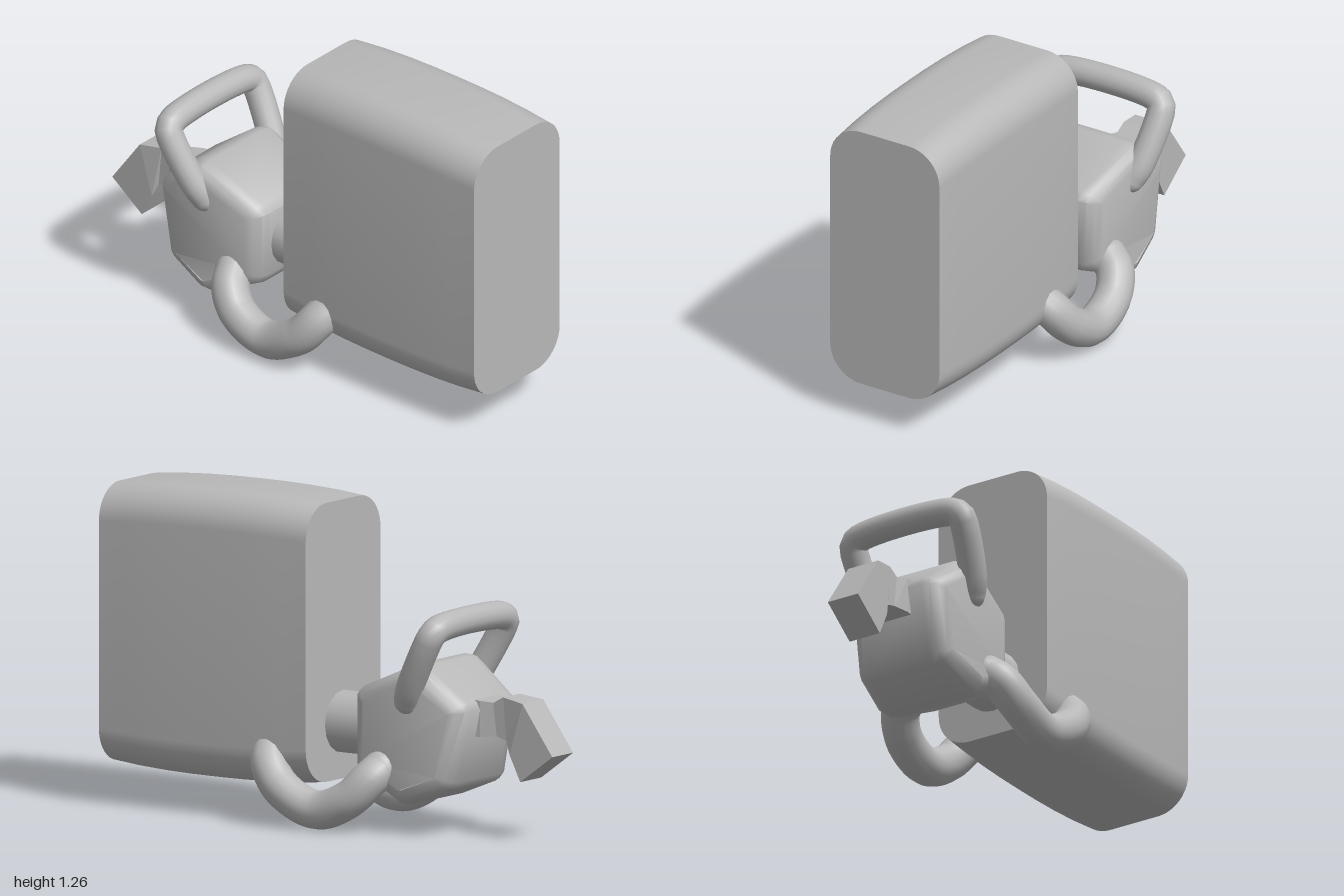
import * as THREE from 'three';
import { toCreasedNormals } from 'three/addons/utils/BufferGeometryUtils.js';

const grey = new THREE.MeshStandardMaterial({ color: 0xb8b8b8 });
grey.name = 'grey';

function part(name, geometry) {
  const mesh = new THREE.Mesh(geometry, grey);
  mesh.name = name;
  return mesh;
}

// Moves every vertex of a geometry by a rule
function deform(geometry, rule) {
  const p = geometry.attributes.position;
  const v = new THREE.Vector3();
  for (let i = 0; i < p.count; i++) {
    rule(v.fromBufferAttribute(p, i));
    p.setXYZ(i, v.x, v.y, v.z);
  }
  return geometry;
}

// Tall rounded block, swelling slightly in the middle
function bodyGeometry() {
  const w = 0.262, h = 0.565, r = 0.145, z0 = 0.03, z1 = 1;
  const s = new THREE.Shape();
  s.moveTo(w, -h + r);
  s.lineTo(w, h - r);
  s.absarc(w - r, h - r, r, 0, Math.PI / 2);
  s.absarc(-w + r, h - r, r, Math.PI / 2, Math.PI);
  s.absarc(-w + r, -h + r, r, Math.PI, Math.PI * 1.5);
  s.absarc(w - r, -h + r, r, Math.PI * 1.5, Math.PI * 2);
  const g = new THREE.ExtrudeGeometry(s, { depth: z1 - z0, steps: 8, bevelEnabled: false, curveSegments: 5 });
  deform(g, (v) => {
    const t = (2 * v.z) / (z1 - z0) - 1;
    const inset = 0.022 * Math.pow(Math.abs(t), 2.5);
    v.x *= 1 - (inset * 0.5) / w;
    v.y = 0.705 + v.y * (1 - inset / h);
    v.z += z0;
  });
  return toCreasedNormals(g, 0.6);
}

// Bevelled head from its side outline, narrowing to front and back
function headGeometry() {
  const outline = [
    [0.145, 0.26], [0.17, 0.22], [0.38, 0.12], [0.42, 0.125], [0.585, 0.19], [0.61, 0.22],
    [0.665, 0.5], [0.65, 0.53], [0.47, 0.665], [0.43, 0.67], [0.17, 0.56], [0.145, 0.53],
  ].map(([x, y]) => new THREE.Vector2(x, y));
  const g = new THREE.ExtrudeGeometry(new THREE.Shape(outline), {
    depth: 0.32, bevelThickness: 0.08, bevelSize: 0.06, bevelOffset: -0.06, bevelSegments: 3,
  });
  g.translate(0, 0, -0.16).rotateY(Math.PI / 2);
  deform(g, (v) => {
    v.x *= 1 - 0.65 * Math.abs(v.z + 0.41);
  });
  return toCreasedNormals(g, 0.7);
}

// Round tube through points, with rounded ends
function tube(name, points, radius) {
  const group = new THREE.Group();
  group.name = name;
  const path = points.map((p) => new THREE.Vector3(...p));
  const curve = new THREE.CatmullRomCurve3(path, false, 'centripetal');
  group.add(part(name + 'Tube', new THREE.TubeGeometry(curve, 48, radius, 14)));
  for (const p of [path[0], path[path.length - 1]]) {
    const cap = part(name + 'End', new THREE.SphereGeometry(radius, 14, 10));
    cap.position.copy(p);
    group.add(cap);
  }
  return group;
}

// Square-section spout: top z, y, bottom z, y, half width for each section
function spoutGeometry() {
  const sections = [
    [-0.62, 0.54, -0.63, 0.39, 0.078],
    [-0.665, 0.535, -0.665, 0.395, 0.075],
    [-0.715, 0.53, -0.73, 0.4, 0.057],
    [-0.76, 0.555, -0.775, 0.388, 0.057],
    [-0.86, 0.54, -0.8, 0.335, 0.07],
    [-1, 0.345, -0.85, 0.235, 0.07],
  ];
  const positions = [];
  const index = [];
  for (const [tz, ty, bz, by, w] of sections) {
    positions.push(w, ty, tz, w, by, bz, -w, by, bz, -w, ty, tz);
  }
  for (let i = 0; i < sections.length - 1; i++) {
    for (let j = 0; j < 4; j++) {
      const a = i * 4 + j, b = i * 4 + ((j + 1) % 4);
      index.push(a, b, a + 4, b, b + 4, a + 4);
    }
  }
  const e = (sections.length - 1) * 4;
  index.push(e, e + 1, e + 2, e, e + 2, e + 3);
  const g = new THREE.BufferGeometry();
  g.setAttribute('position', new THREE.Float32BufferAttribute(positions, 3));
  g.setIndex(index);
  const flat = g.toNonIndexed();
  flat.computeVertexNormals();
  return flat;
}

export function createModel() {
  const model = new THREE.Group();
  model.name = 'model';
  model.add(part('body', bodyGeometry()), part('head', headGeometry()), part('spout', spoutGeometry()));

  // Neck joining body and head
  const neck = part('neck', new THREE.CylinderGeometry(0.122, 0.122, 0.26, 16).rotateX(Math.PI / 2));
  neck.position.set(0, 0.385, -0.08);
  model.add(neck);

  // Handle over the head
  const side = [
    [0.2, 0.53, -0.415], [0.225, 0.58, -0.44], [0.253, 0.755, -0.535],
    [0.248, 0.8, -0.558], [0.215, 0.822, -0.565],
  ];
  const mirrored = side.map(([x, y, z]) => [-x, y, z]).reverse();
  model.add(tube('handle', [...side, ...mirrored], 0.055));

  // Curved legs, one on each side
  for (const [name, s] of [['leftLeg', 1], ['rightLeg', -1]]) {
    const points = [
      [0.2, 0.285, 0.225], [0.25, 0.235, 0.2], [0.277, 0.155, 0.13], [0.275, 0.08, -0.035],
      [0.268, 0.135, -0.185], [0.235, 0.21, -0.255], [0.185, 0.25, -0.28],
    ];
    model.add(tube(name, points.map(([x, y, z]) => [s * x, y, z]), 0.075));
  }
  return model;
}
